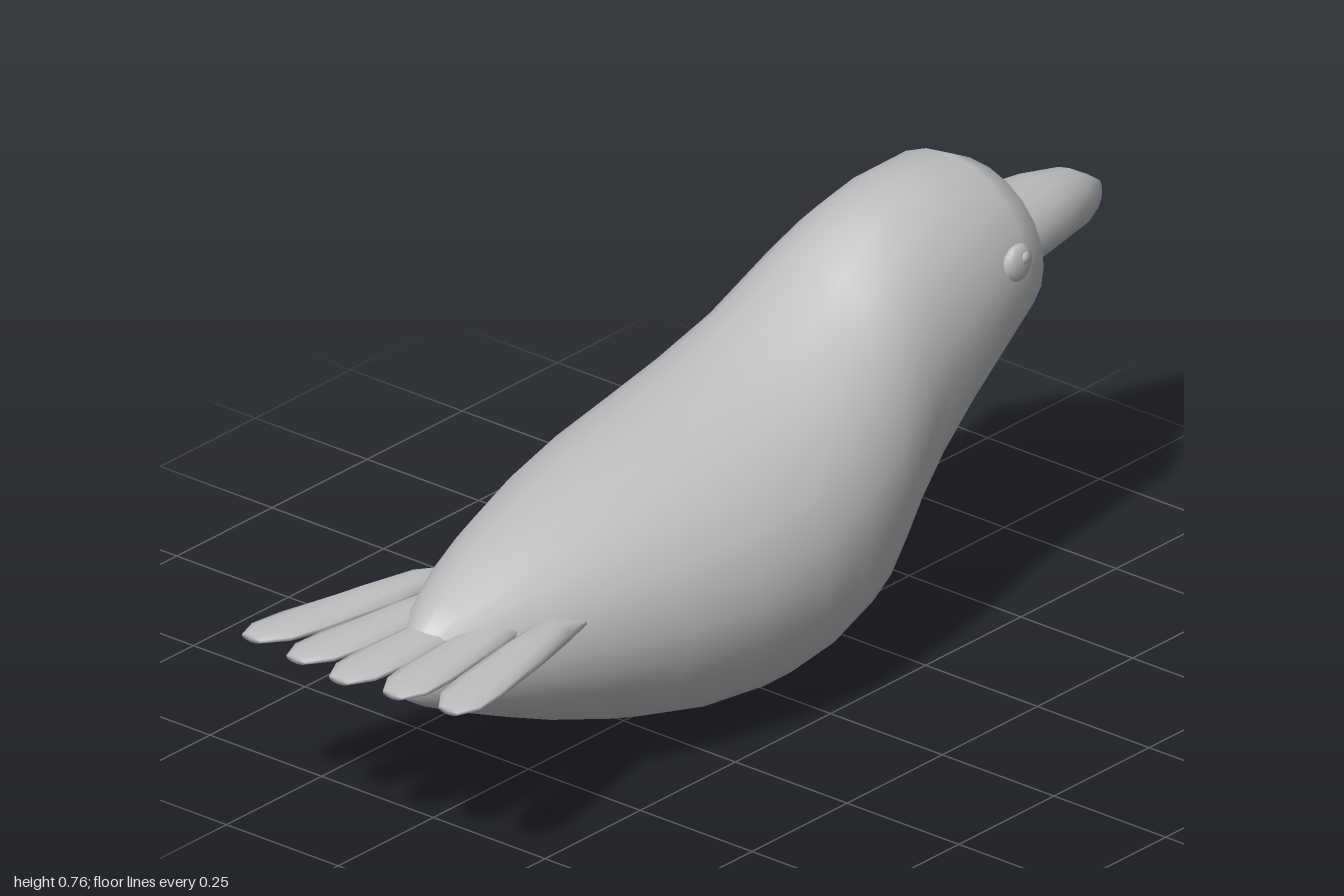
import * as THREE from 'three';

// Closed tube through oval sections, ordered by rising x: [x, bottom, top, halfWidth, zCentre]
function loft(sections, sides) {
  const pos = [], index = [];
  for (const [x, lo, hi, w, zc = 0] of sections) {
    for (let j = 0; j < sides; j++) {
      const a = (j / sides) * Math.PI * 2;
      pos.push(x, (lo + hi) / 2 + Math.cos(a) * (hi - lo) / 2, zc + Math.sin(a) * w);
    }
  }
  const last = sections.length - 1;
  for (let i = 0; i < last; i++) {
    for (let j = 0; j < sides; j++) {
      const k = (j + 1) % sides;
      const a = i * sides + j, b = i * sides + k;
      index.push(a, b, a + sides, b, b + sides, a + sides);
    }
  }
  // End caps
  for (const i of [0, last]) {
    const [x, lo, hi, , zc = 0] = sections[i];
    const centre = pos.length / 3;
    pos.push(x, (lo + hi) / 2, zc);
    for (let j = 0; j < sides; j++) {
      const a = i * sides + j, b = i * sides + (j + 1) % sides;
      if (i === 0) index.push(centre, b, a);
      else index.push(centre, a, b);
    }
  }
  const g = new THREE.BufferGeometry();
  g.setAttribute('position', new THREE.Float32BufferAttribute(pos, 3));
  g.setIndex(index);
  g.computeVertexNormals();
  return g;
}

export function createModel() {
  const bird = new THREE.Group();
  bird.name = 'bird';
  const grey = new THREE.MeshStandardMaterial({ color: 0xbfbfbf });
  grey.name = 'plain grey';

  const add = (name, geometry, parent = bird) => {
    const mesh = new THREE.Mesh(geometry, grey);
    mesh.name = name;
    parent.add(mesh);
    return mesh;
  };

  // Body and head in one skin, tail end to face
  add('body', loft([
    [-0.82, 0.25, 0.33, 0.012], [-0.78, 0.225, 0.375, 0.05], [-0.73, 0.2, 0.405, 0.09],
    [-0.6, 0.145, 0.45, 0.152], [-0.5, 0.105, 0.48, 0.19], [-0.35, 0.055, 0.513, 0.24],
    [-0.2, 0.02, 0.538, 0.275], [-0.05, 0.003, 0.563, 0.288], [0.07, 0.01, 0.595, 0.28],
    [0.19, 0.035, 0.645, 0.258], [0.25, 0.08, 0.683, 0.24], [0.31, 0.135, 0.72, 0.222],
    [0.38, 0.2, 0.75, 0.208], [0.47, 0.28, 0.768, 0.197], [0.6, 0.392, 0.766, 0.184],
    [0.66, 0.428, 0.735, 0.165], [0.7, 0.458, 0.69, 0.125],
  ], 24));

  // Beak
  add('beak', loft([
    [0.66, 0.5, 0.655, 0.112], [0.71, 0.502, 0.648, 0.106], [0.83, 0.51, 0.637, 0.082],
    [0.92, 0.511, 0.62, 0.056], [0.97, 0.518, 0.59, 0.028], [1, 0.528, 0.568, 0.006],
  ], 14));

  // Eyes with a small raised pupil
  for (const [side, s] of [['left', -1], ['right', 1]]) {
    const eye = add(side + 'Eye', new THREE.SphereGeometry(0.035, 14, 10));
    eye.position.set(0.575, 0.622, s * 0.178);
    eye.scale.z = 0.45;
    const pupil = add(side + 'Pupil', new THREE.SphereGeometry(0.012, 10, 8));
    pupil.position.set(0.582, 0.632, s * 0.189);
    pupil.scale.z = 0.6;
  }

  // Fan of five flat feathers, tip at low x
  const tail = new THREE.Group();
  tail.name = 'tail';
  bird.add(tail);
  const feathers = [[0, 0, -1], [0.06, 0.108, -0.985], [0.135, 0.22, -0.97]];
  feathers.forEach(([root, tip, end], n) => {
    for (const s of n ? [1, -1] : [1]) {
      const start = -0.54;
      const sections = [
        [0, 0.346, 0.36, 0.022], [0.1, 0.342, 0.363, 0.046], [0.25, 0.338, 0.366, 0.05],
        [0.6, 0.328, 0.37, 0.044], [0.85, 0.325, 0.37, 0.036], [1, 0.34, 0.35, 0.006],
      ].map(([t, lo, hi, w]) => [
        THREE.MathUtils.lerp(end, start, t), lo, hi, w,
        s * (THREE.MathUtils.lerp(tip, root, t) + (t === 1 && n === 2 ? 0.025 : 0)),
      ]);
      add('tailFeather', loft(sections, 10), tail);
    }
  });

  return bird;
}
